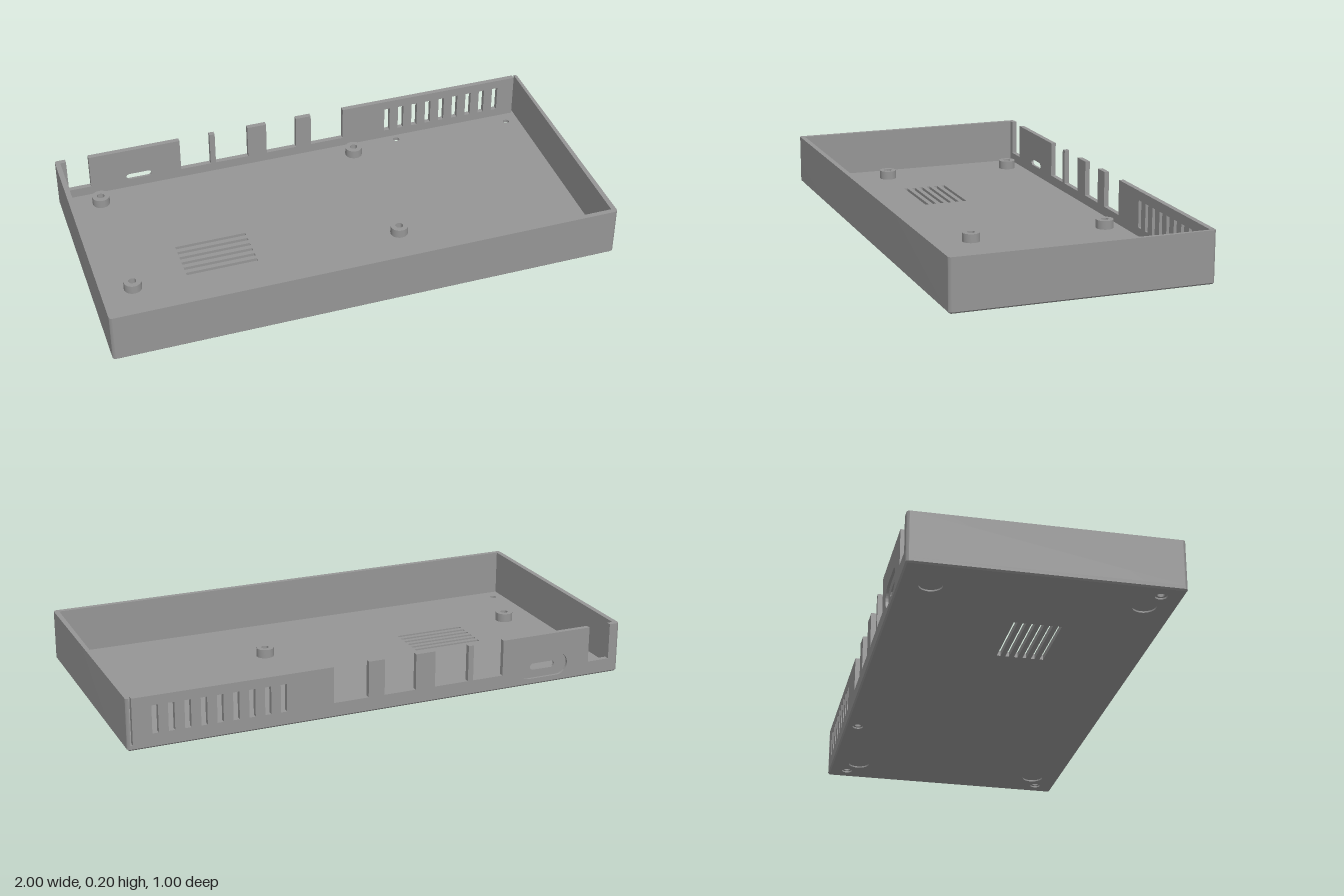
import * as THREE from 'three';
import { toCreasedNormals } from 'three/addons/utils/BufferGeometryUtils.js';

const FLOOR = 0.02, HEIGHT = 0.2, WALL = 0.02, CHAMFER = 0.006, CORNER = 0.012;
const HX = 1, HZ = 0.5;

// Rounded rectangle plan; inset keeps the same corner centres
function planShape(inset = 0) {
  const s = new THREE.Shape(), r = CORNER - inset, cx = HX - CORNER, cz = HZ - CORNER;
  [[1, -1], [1, 1], [-1, 1], [-1, -1]].forEach(([sx, sz], i) =>
    s.absarc(sx * cx, sz * cz, r, (i - 1) * Math.PI / 2, i * Math.PI / 2));
  s.closePath();
  return s;
}

function circleHole(x, y, r) {
  return new THREE.Path().absarc(x, y, r, 0, Math.PI * 2);
}

function rectHole(x0, x1, y0, y1) {
  return new THREE.Path([[x0, y0], [x1, y0], [x1, y1], [x0, y1], [x0, y0]].map(p => new THREE.Vector2(...p)));
}

// Slot with round ends
function slotHole(x, y, w, h) {
  const p = new THREE.Path(), d = (w - h) / 2;
  p.absarc(x + d, y, h / 2, -Math.PI / 2, Math.PI / 2);
  p.absarc(x - d, y, h / 2, Math.PI / 2, Math.PI * 1.5);
  p.closePath();
  return p;
}

function extrude(shape, depth) {
  return toCreasedNormals(new THREE.ExtrudeGeometry(shape, { depth, bevelEnabled: false, curveSegments: 16 }), 0.6);
}

// Plan shape (x, z) raised from y0 to y1
function slab(shape, y0, y1) {
  return extrude(shape, y1 - y0).rotateX(Math.PI / 2).translate(0, y1, 0);
}

// Sloped band joining the inset underside to the full outline
function chamferBand() {
  const top = planShape().getPoints(16), low = planShape(CHAMFER).getPoints(16), v = [];
  top.forEach((a, i) => {
    const j = (i + 1) % top.length, b = top[j], c = low[i], d = low[j];
    v.push(a.x, CHAMFER, a.y, b.x, CHAMFER, b.y, c.x, 0, c.y);
    v.push(b.x, CHAMFER, b.y, d.x, 0, d.y, c.x, 0, c.y);
  });
  const g = new THREE.BufferGeometry();
  g.setAttribute('position', new THREE.Float32BufferAttribute(v, 3));
  g.computeVertexNormals();
  return g;
}

export function createModel() {
  const model = new THREE.Group();
  model.name = 'enclosureBase';
  const grey = new THREE.MeshStandardMaterial({ color: 0x959595 });
  grey.name = 'grey plastic';
  const add = (name, geometry) => {
    const m = new THREE.Mesh(geometry, grey);
    m.name = name;
    model.add(m);
    return m;
  };

  // Floor: lower layer holds foot recesses and screw counterbores
  const screws = [[0.44, -0.45], [0.933, -0.425], [-0.936, 0.42], [0.933, 0.42]];
  const vents = () => Array.from({ length: 6 }, (_, i) => {
    const z = -0.033 + i * 0.033;
    return rectHole(-0.63, -0.345, z - 0.007, z + 0.007);
  });
  const lower = planShape(CHAMFER);
  lower.holes.push(...vents(), ...screws.map(([x, z]) => circleHole(x, z, 0.022)));
  for (const sx of [-1, 1]) for (const sz of [-1, 1]) {
    lower.holes.push(circleHole(sx * 0.845, sz * 0.386, 0.043));
  }
  add('floorUnderside', slab(lower, 0, CHAMFER));

  const upper = planShape();
  upper.holes.push(...vents(), ...screws.map(([x, z]) => circleHole(x, z, 0.013)));
  add('floor', slab(upper, CHAMFER, FLOOR));
  add('bottomChamfer', chamferBand());

  // Front and side walls in one U-shaped piece
  const ix = HX - WALL, iz = HZ - WALL, cx = HX - CORNER, cz = HZ - CORNER, q = Math.PI / 2;
  const u = new THREE.Shape();
  u.moveTo(ix, -HZ);
  u.absarc(cx, -cz, CORNER, -q, 0);
  u.absarc(cx, cz, CORNER, 0, q);
  u.absarc(-cx, cz, CORNER, q, 2 * q);
  u.absarc(-cx, -cz, CORNER, 2 * q, 3 * q);
  u.lineTo(-ix, -HZ);
  u.lineTo(-ix, iz);
  u.lineTo(ix, iz);
  u.closePath();
  add('frontAndSideWalls', slab(u, FLOOR, HEIGHT));

  // Back wall with port notches, vent slots and a recessed socket
  const notches = [[-0.957, -0.866], [-0.49, -0.364], [-0.342, -0.203], [-0.123, 0.005], [0.07, 0.21]];
  const backShape = socket => {
    const s = new THREE.Shape();
    s.moveTo(ix, FLOOR);
    s.lineTo(ix, HEIGHT);
    for (const [a, b] of [...notches].reverse()) {
      s.lineTo(b, HEIGHT);
      s.lineTo(b, 0.058);
      s.lineTo(a, 0.058);
      s.lineTo(a, HEIGHT);
    }
    s.lineTo(-ix, HEIGHT);
    s.lineTo(-ix, FLOOR);
    s.closePath();
    for (let i = 0; i < 9; i++) {
      const x = 0.407 + i * 0.061;
      s.holes.push(rectHole(x - 0.012, x + 0.012, 0.055, 0.163));
    }
    s.holes.push(socket);
    return s;
  };
  const half = WALL / 2;
  add('backWallOuter', extrude(backShape(slotHole(-0.667, 0.07, 0.21, 0.09)), half).translate(0, 0, -HZ));
  add('backWallInner', extrude(backShape(slotHole(-0.667, 0.07, 0.105, 0.026)), half).translate(0, 0, -HZ + half));

  // Board standoffs with blind screw holes
  const profile = [[0.035, FLOOR], [0.035, 0.055], [0.015, 0.055], [0.015, FLOOR]].map(p => new THREE.Vector2(...p));
  const standoff = toCreasedNormals(new THREE.LatheGeometry(profile, 32), 0.6);
  for (const x of [-0.843, 0.235]) for (const z of [-0.41, 0.147]) {
    add('standoff', standoff).position.set(x, 0, z);
  }
  return model;
}
